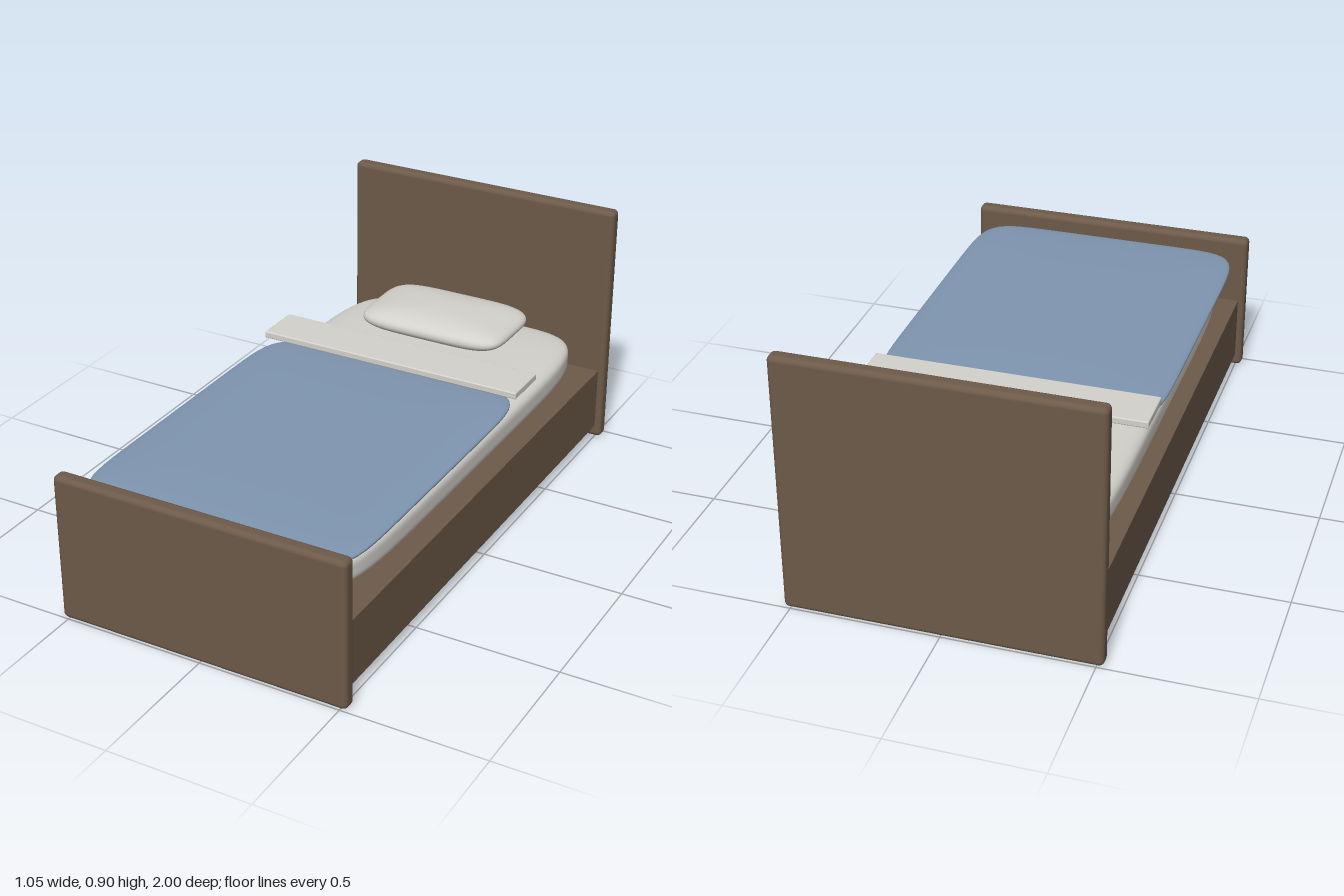
import * as THREE from 'three';
import { mergeVertices } from 'three/addons/utils/BufferGeometryUtils.js';
import { RoundedBoxGeometry } from 'three/addons/geometries/RoundedBoxGeometry.js';

const material = (name, color) => {
  const m = new THREE.MeshStandardMaterial({ color });
  m.name = name;
  return m;
};

// Stuffed shape: a cube pulled onto a superellipsoid.
// plan = squareness seen from above, side = squareness of the vertical profile
function cushionGeometry(w, h, d, plan, side) {
  let g = new THREE.BoxGeometry(2, 2, 2, 28, 20, 28);
  g.deleteAttribute('uv');
  g.deleteAttribute('normal');
  g = mergeVertices(g);
  const p = g.attributes.position;
  for (let i = 0; i < p.count; i++) {
    const x = p.getX(i), y = p.getY(i), z = p.getZ(i);
    const flat = Math.pow(Math.abs(x) ** plan + Math.abs(z) ** plan, 1 / plan);
    const r = 1 / Math.pow(flat ** side + Math.abs(y) ** side, 1 / side);
    p.setXYZ(i, x * r * w / 2, y * r * h / 2, z * r * d / 2);
  }
  g.computeVertexNormals();
  return g;
}

export function createModel() {
  const wood = material('wood', 0x6d5a49);
  const linen = material('linen', 0xd3d1cb);
  const blue = material('blanket blue', 0x7f96b0);

  const bed = new THREE.Group();
  bed.name = 'bed';
  const add = (name, geometry, mat, y, z) => {
    const mesh = new THREE.Mesh(geometry, mat);
    mesh.name = name;
    mesh.position.set(0, y, z);
    bed.add(mesh);
  };

  // Wooden frame
  add('headboard', new RoundedBoxGeometry(1.046, 0.905, 0.055, 4, 0.018), wood, 0.4525, -0.9725);
  add('footboard', new RoundedBoxGeometry(1.046, 0.525, 0.055, 4, 0.018), wood, 0.2625, 0.9725);
  add('base', new THREE.BoxGeometry(1, 0.23, 1.9), wood, 0.16, 0);

  // Bedding
  add('mattress', cushionGeometry(0.925, 0.142, 1.865, 7, 4.5), linen, 0.362, 0);
  add('pillow', cushionGeometry(0.56, 0.1, 0.35, 5, 2.3), linen, 0.495, -0.67);
  add('blanket', cushionGeometry(0.985, 0.045, 1.25, 9, 3), blue, 0.458, 0.325);
  add('foldedSheet', new RoundedBoxGeometry(0.985, 0.025, 0.168, 3, 0.005), linen, 0.498, -0.307);

  return bed;
}
